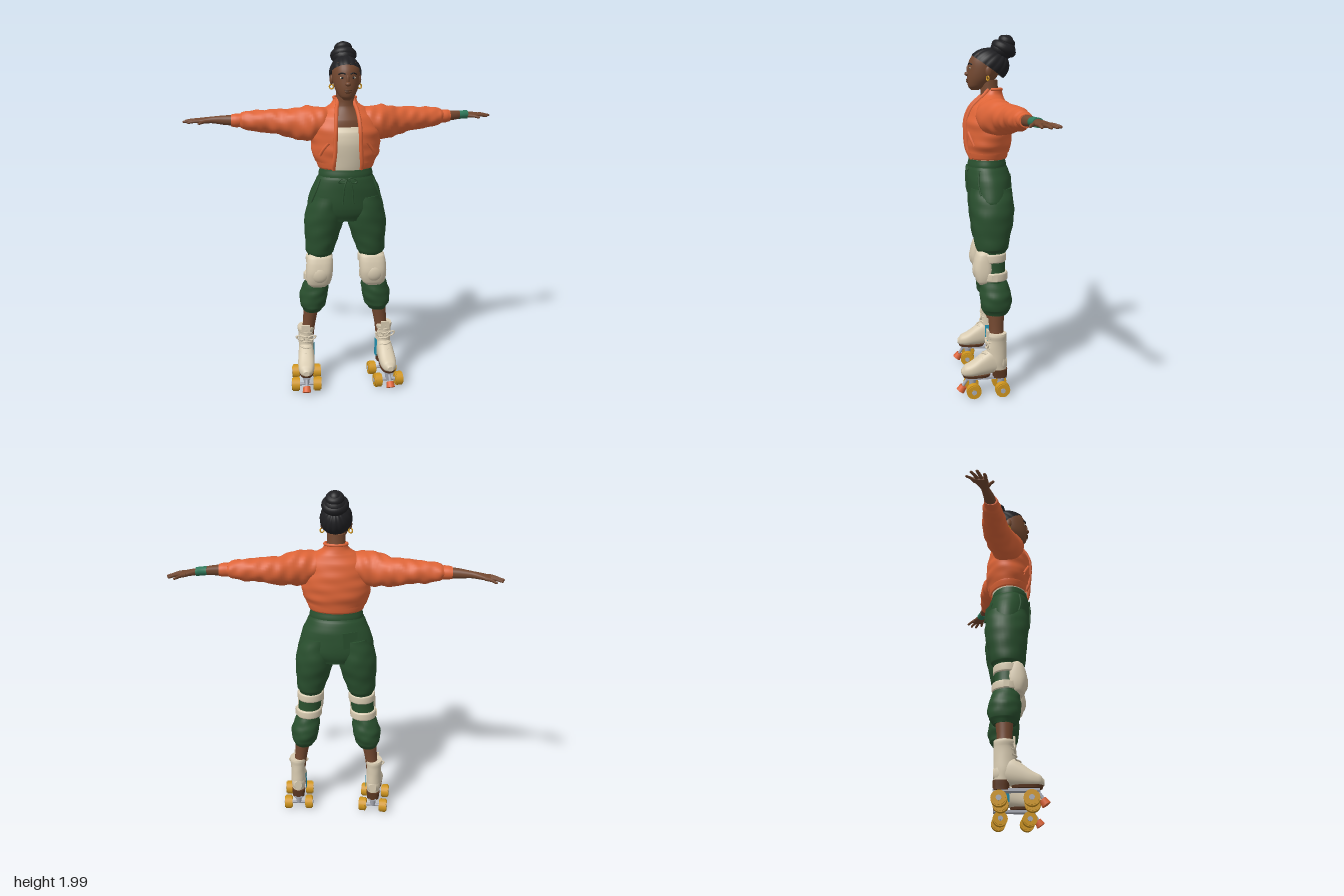
import * as THREE from 'three';

const mat = (name, hex, side = THREE.FrontSide) => {
  const m = new THREE.MeshStandardMaterial({ color: hex, side });
  m.name = name;
  return m;
};

// Smooth skin over elliptical rows [t, centreU, centreV, radiusU, radiusV, frontGap?]; t must rise.
function loft(rows, { axis = 'y', seg = 32, sub = 4, amp = 0, pow = 1, freq = 40 } = {}) {
  const rings = [];
  const n = rows.length;
  for (let i = 0; i < n - 1; i++) {
    const [a, b, c, d] = [rows[Math.max(i - 1, 0)], rows[i], rows[i + 1], rows[Math.min(i + 2, n - 1)]];
    for (let k = 0; k < sub + (i === n - 2 ? 1 : 0); k++) {
      const s = k / sub;
      rings.push(b.map((p, j) => j === 0 ? p + (c[0] - p) * s : 0.5 * (2 * p + (c[j] - a[j]) * s
        + (2 * a[j] - 5 * p + 4 * c[j] - d[j]) * s * s + (3 * p - a[j] - 3 * c[j] + d[j]) * s ** 3)));
    }
  }
  const open = rows[0].length > 5;
  const pos = [], idx = [];
  const put = (t, u, v) => pos.push(...(axis === 'y' ? [u, t, v] : axis === 'x' ? [t, v, u] : [v, u, t]));
  const curve = (x) => Math.sign(x) * Math.abs(x) ** pow;
  const cols = open ? seg + 1 : seg;
  const ring = ([t, cu, cv, ru, rv, gap = 0]) => {
    const g = Math.asin(Math.min(0.95, gap / ru));
    for (let j = 0; j < cols; j++) {
      const th = Math.PI / 2 + g + (2 * Math.PI - 2 * g) * j / seg;
      const w = 1 + amp * (Math.sin(3 * th + t * freq) + Math.sin(5 * th - t * freq * 1.6) + Math.sin(t * freq * 2.3 + Math.cos(th) * 2));
      put(t, cu + ru * w * curve(Math.cos(th)), cv + rv * w * curve(Math.sin(th)));
    }
  };
  rings.forEach(ring);
  for (let i = 0; i < rings.length - 1; i++) for (let j = 0; j < seg; j++) {
    const k = (j + 1) % cols, a = i * cols, b = a + cols;
    idx.push(a + j, b + j, a + k, a + k, b + j, b + k);
  }
  // End caps with their own vertices, so the rim stays crisp
  if (!open) [0, rings.length - 1].forEach((r) => {
    const base = pos.length / 3;
    ring(rings[r]);
    put(rings[r][0], rings[r][1], rings[r][2]);
    for (let j = 0; j < seg; j++) {
      const k = (j + 1) % seg;
      idx.push(base + seg, ...(r ? [base + k, base + j] : [base + j, base + k]));
    }
  });
  const g = new THREE.BufferGeometry();
  g.setAttribute('position', new THREE.Float32BufferAttribute(pos, 3));
  g.setIndex(idx);
  g.computeVertexNormals();
  return g;
}

const tube = (pts, r, seg = 20) =>
  new THREE.TubeGeometry(new THREE.CatmullRomCurve3(pts.map((p) => new THREE.Vector3(...p))), seg, r, 8);
const ball = (x, y, z, rx, ry, rz) => new THREE.SphereGeometry(1, 24, 16).scale(rx, ry, rz).translate(x, y, z);
const box = (w, h, d, x, y, z) => new THREE.BoxGeometry(w, h, d).translate(x, y, z);
const axle = (r, w, x, y, z) => new THREE.CylinderGeometry(r, r, w, 20).rotateZ(Math.PI / 2).translate(x, y, z);

function mirrored(geo) {
  const g = geo.clone().scale(-1, 1, 1), ix = g.index.array;
  for (let i = 0; i < ix.length; i += 3) [ix[i], ix[i + 1]] = [ix[i + 1], ix[i]];
  return g;
}

export function createModel() {
  const root = new THREE.Group();
  root.name = 'skater';
  const body = new THREE.Group();
  body.name = 'body';
  body.position.x = -0.013;
  const arms = new THREE.Group();
  arms.name = 'arms';
  arms.rotation.y = 0.025;
  body.add(arms);
  root.add(body);

  const skin = mat('skin', 0x734830), hair = mat('hair', 0x1f1f22, THREE.DoubleSide);
  const orange = mat('jacket orange', 0xdd6437, THREE.DoubleSide), cream = mat('cream', 0xd9ccb2, THREE.DoubleSide);
  const green = mat('trouser green', 0x294f2e), yellow = mat('wheel yellow', 0xd0961f);
  const metal = mat('metal', 0xa9acb6), brown = mat('heel brown', 0x5c3822);
  const bandGreen = mat('wristband green', 0x2f7a5c), blue = mat('panel blue', 0x2391b0);

  const add = (name, geo, m, parent = body) => {
    const mesh = new THREE.Mesh(geo, m);
    mesh.name = name;
    parent.add(mesh);
  };
  const pair = (name, geo, m, parent = body) => {
    add('left ' + name, geo, m, parent);
    add('right ' + name, mirrored(geo), m, parent);
  };

  // Head and neck
  add('neck and chest', loft([[1.48, 0, .04, .14, .08], [1.58, 0, .038, .12, .075], [1.62, 0, .024, .09, .064],
    [1.66, 0, .018, .056, .051], [1.75, 0, .025, .05, .05]]), skin);
  add('head', loft([[1.695, 0, .1, .018, .022], [1.715, 0, .088, .042, .05], [1.755, 0, .065, .063, .078],
    [1.8, 0, .05, .073, .09], [1.85, 0, .04, .074, .093], [1.89, 0, .035, .062, .074], [1.915, 0, .03, .03, .035]]), skin);
  add('nose', ball(0, 1.783, .141, .016, .012, .017), skin);
  add('nose bridge', ball(0, 1.805, .138, .008, .026, .009), skin);
  add('upper lip', ball(0, 1.751, .141, .022, .006, .008), brown);
  add('lower lip', ball(0, 1.741, .141, .019, .007, .008), brown);
  pair('eye', ball(.03, 1.815, .129, .013, .006, .004), cream);
  pair('iris', ball(.03, 1.815, .132, .006, .006, .003), hair);
  pair('brow', tube([[.012, 1.834, .135], [.03, 1.84, .131], [.048, 1.832, .115]], .0035, 8), hair);
  pair('ear', ball(.076, 1.797, .03, .01, .028, .018), skin);
  pair('earring', new THREE.TorusGeometry(.012, .004, 8, 16).rotateY(.5).translate(.077, 1.76, .034), yellow);

  // Braided hair cap with raised rows running to the bun
  const cap = new THREE.SphereGeometry(1, 96, 20, 0, Math.PI * 2, 0, 1.66);
  const cp = cap.attributes.position;
  for (let i = 0; i < cp.count; i++) {
    const s = 0.985 + 0.03 * Math.abs(Math.cos(8 * Math.atan2(cp.getZ(i), cp.getX(i))));
    cp.setXYZ(i, cp.getX(i) * s, cp.getY(i) * s, cp.getZ(i) * s);
  }
  cap.computeVertexNormals();
  add('hair cap', cap.rotateX(-0.7).scale(.087, .095, .114).translate(0, 1.828, .024), hair);
  add('bun base', ball(0, 1.915, -.055, .066, .055, .07), hair);
  add('bun coil', new THREE.TorusGeometry(.045, .028, 14, 36).rotateX(Math.PI / 2 - 0.5).translate(0, 1.92, -.06), hair);
  add('bun top', new THREE.TorusGeometry(.026, .024, 14, 32).rotateX(Math.PI / 2 - 0.5).translate(0, 1.957, -.077), hair);
  add('bun knot', ball(0, 1.958, -.078, .035, .036, .036), hair);

  // Top and open jacket
  add('tank top', loft([[1.28, 0, .035, .135, .09], [1.34, 0, .035, .14, .102], [1.45, 0, .034, .165, .118],
    [1.52, 0, .036, .16, .108], [1.55, 0, .038, .14, .088]], { amp: .002 }), cream);
  const jacketRows = [[1.355, 0, .033, .168, .122, .077], [1.4, 0, .03, .187, .131, .072], [1.46, 0, .029, .192, .134, .069],
    [1.53, 0, .031, .192, .129, .067], [1.6, 0, .024, .165, .107, .062], [1.645, 0, .013, .112, .077, .055],
    [1.67, 0, .005, .074, .06, .047], [1.7, 0, -.006, .062, .044, .042]];
  add('jacket body', loft(jacketRows, { seg: 64, sub: 6, amp: .008, freq: 45 }), orange);
  add('jacket hem', loft([[1.318, 0, .033, .15, .108, .077], [1.325, 0, .033, .155, .113, .077],
    [1.352, 0, .033, .163, .117, .077], [1.362, 0, .033, .163, .118, .077]], { seg: 64 }), orange);
  const edge = ([y, , cz, rx, rz, g]) => [g, y, cz + rz * Math.sqrt(1 - (g / rx) ** 2)];
  pair('jacket front edge', tube([[.077, 1.32, .125], ...jacketRows.map(edge)], .011, 40), orange);
  add('collar rim', new THREE.TorusGeometry(.058, .008, 8, 32, Math.PI * 1.3).rotateZ(Math.PI * .85)
    .rotateX(Math.PI / 2).scale(1.05, 1, .75).translate(0, 1.698, -.006).rotateY(0), orange);
  pair('jacket pocket welt', tube([[.105, 1.47, .143], [.135, 1.43, .128], [.15, 1.4, .115]], .008), orange);

  // Sleeves, forearms and hands
  pair('sleeve', loft([[.07, .015, 1.575, .07, .07], [.13, .018, 1.563, .088, .088], [.2, .006, 1.558, .096, .096],
    [.3, -.04, 1.556, .082, .08], [.4, -.064, 1.565, .07, .066], [.5, -.076, 1.567, .058, .058],
    [.56, -.083, 1.57, .05, .046], [.582, -.087, 1.57, .037, .034]], { axis: 'x', sub: 8, amp: .024, freq: 42 }), orange);
  pair('sleeve cuff', loft([[.575, -.086, 1.57, .04, .037], [.6, -.088, 1.57, .04, .037], [.622, -.092, 1.57, .036, .033]],
    { axis: 'x' }), orange);
  pair('forearm', loft([[.58, -.088, 1.57, .033, .03], [.66, -.104, 1.571, .028, .026], [.72, -.122, 1.571, .022, .019],
    [.75, -.132, 1.569, .027, .017], [.79, -.145, 1.566, .039, .014], [.815, -.152, 1.564, .034, .011]],
    { axis: 'x', pow: .9 }), skin);
  [[.79, -.119, .865, -.127], [.8, -.141, .89, -.165], [.8, -.161, .88, -.195], [.785, -.177, .845, -.217], [.735, -.112, .805, -.083]]
    .forEach(([x0, z0, x1, z1], i) => pair('finger ' + (i + 1), loft([[x0, z0, 1.565, .0105, .0105],
      [(x0 + x1) / 2, (z0 + z1) / 2, 1.564, .0095, .009], [x1 - .008, z1, 1.558, .008, .007], [x1, z1, 1.557, .003, .003]],
    { axis: 'x', seg: 10 }), skin, body.children[0]));
  arms.add(...body.children.filter((c) => /sleeve|forearm/.test(c.name)));
  add('left wristband', loft([[.685, -.113, 1.571, .027, .024], [.715, -.12, 1.571, .027, .024], [.74, -.129, 1.57, .028, .024]],
    { axis: 'x' }), bandGreen, arms);

  // Trousers
  add('trouser hips', loft([[1.02, 0, .015, .15, .1], [1.06, 0, .016, .205, .118], [1.1, 0, .018, .216, .125],
    [1.2, 0, .025, .19, .125], [1.26, 0, .032, .162, .116], [1.285, 0, .034, .148, .106]], { seg: 48, amp: .005, freq: 25 }), green);
  add('waistband', loft([[1.275, 0, .035, .152, .109], [1.29, 0, .035, .151, .108], [1.315, 0, .035, .145, .102]], { seg: 48 }), green);
  pair('trouser thigh', loft([[.805, .147, .02, .066, .078], [.83, .146, .018, .08, .092], [.9, .137, .017, .094, .104],
    [1, .124, .014, .11, .12], [1.08, .115, .016, .105, .123], [1.16, .1, .02, .09, .115]], { sub: 6, amp: .009, freq: 32 }), green);
  pair('trouser knee', loft([[.64, .166, .012, .07, .07], [.72, .156, .016, .066, .07], [.83, .148, .02, .066, .075]], { amp: .006 }), green);
  pair('trouser calf', loft([[.458, .192, 0, .053, .06], [.475, .191, 0, .062, .072], [.49, .19, 0, .072, .082], [.55, .184, 0, .082, .09],
    [.6, .176, .004, .078, .083], [.66, .165, .012, .066, .069]], { sub: 6, amp: .014, freq: 48 }), green);
  pair('pocket seam', tube([[.148, 1.26, .087], [.17, 1.2, .094], [.198, 1.13, .082]], .005), green);
  add('back pocket', box(.085, .09, .009, 0, 0, 0).rotateX(.1).rotateY(.45).translate(-.085, 1.17, -.088), green);
  pair('drawstring', tube([[.004, 1.272, .147], [.02, 1.23, .153], [.03, 1.13, .148]], .0045), green);
  pair('drawstring bow', new THREE.TorusGeometry(.017, .0045, 8, 20).scale(1.4, .7, 1).rotateZ(-.3).translate(.027, 1.262, .147), green);

  // Knee pads
  pair('knee pad', loft([[.628, .16, .065, .045, .03], [.645, .159, .066, .064, .042], [.68, .157, .066, .074, .054],
    [.72, .155, .066, .077, .06], [.77, .152, .066, .076, .052], [.805, .15, .064, .07, .042], [.82, .15, .06, .055, .03]],
    { pow: .75 }), cream);
  pair('knee cap shell', ball(.156, .71, .1, .055, .055, .03), cream);
  [[.675, .161, .013], [.78, .151, .019]].forEach(([y, x, z], i) => pair(i ? 'upper strap' : 'lower strap',
    loft([[y - .024, x, z, .073, .075], [y - .018, x, z, .077, .08], [y + .018, x, z, .077, .08], [y + .024, x, z, .073, .075]]), cream));
  pair('strap buckle', box(.012, .035, .03, .236, .675, .01), cream);

  // Ankles and skates, built around x = 0 and then turned out
  pair('ankle', loft([[.3, .222, -.002, .037, .042], [.38, .212, 0, .037, .04], [.48, .2, 0, .045, .048]]), skin);
  const foot = (name, geo, m) => pair(name, geo.rotateY(.07).translate(.232, 0, 0), m);
  foot('boot shaft', loft([[.14, 0, -.008, .038, .046], [.2, 0, 0, .044, .056], [.27, 0, .001, .044, .056], [.32, 0, -.002, .046, .053],
    [.345, 0, 0, .05, .057], [.358, 0, 0, .048, .055]], { amp: .004 }), cream);
  foot('boot foot', loft([[-.056, .185, 0, .028, .022], [-.035, .19, 0, .05, .037], [.03, .196, 0, .072, .045], [.09, .175, 0, .06, .048],
    [.14, .154, 0, .043, .047], [.18, .145, 0, .031, .037], [.2, .138, 0, .014, .016]], { axis: 'z', pow: .85 }), cream);
  foot('boot tongue', box(.05, .05, .012, 0, .352, .05), cream);
  foot('boot sole', loft([[.108, 0, .115, .04, .075], [.122, 0, .115, .043, .08]], { pow: .8 }), brown);
  foot('boot heel', loft([[.1, 0, -.018, .036, .04], [.148, 0, -.016, .04, .044]], { pow: .7 }), brown);
  foot('side panel', new THREE.CylinderGeometry(1, 1, .11, 10, 1, true, 1.5 * Math.PI - .45, .95).scale(.05, 1, .062).translate(0, .2, 0), blue);
  [[.195, .125], [.22, .103], [.245, .081], [.275, .061], [.305, .055], [.33, .057]].forEach(([y, z], i) =>
    foot('lace ' + (i + 1), tube([[-.033, y - .006, z - .022], [0, y, z + .001], [.033, y + .004, z - .022]], .005, 8), cream));
  [-1, 1].forEach((s) => foot('lace bow', new THREE.TorusGeometry(.015, .0045, 8, 16).scale(1.5, .8, 1).rotateZ(s * .4)
    .translate(s * .034, .3, .055), cream));

  // Plate, trucks, wheels and toe stop
  foot('plate', box(.045, .014, .235, 0, .1, .06), metal);
  [.138, -.024].forEach((z, i) => {
    const end = i ? 'rear' : 'front';
    foot(end + ' truck', new THREE.CylinderGeometry(.022, .014, .055, 16).translate(0, .07, z), metal);
    foot(end + ' axle', axle(.009, .178, 0, .046, z), metal);
    [-1, 1].forEach((s) => {
      foot(end + ' wheel', axle(.041, .034, s * .063, .046, z), yellow);
      foot(end + ' wheel rim', axle(.035, .046, s * .063, .046, z), yellow);
      foot(end + ' hub', axle(.014, .05, s * .063, .046, z), metal);
    });
  });
  foot('toe stop stem', new THREE.CylinderGeometry(.009, .009, .06, 12).rotateX(-.6).translate(0, .077, .178), metal);
  foot('toe stop', new THREE.CylinderGeometry(.02, .025, .034, 20).rotateX(-.6).translate(0, .04, .198), orange);

  return root;
}
